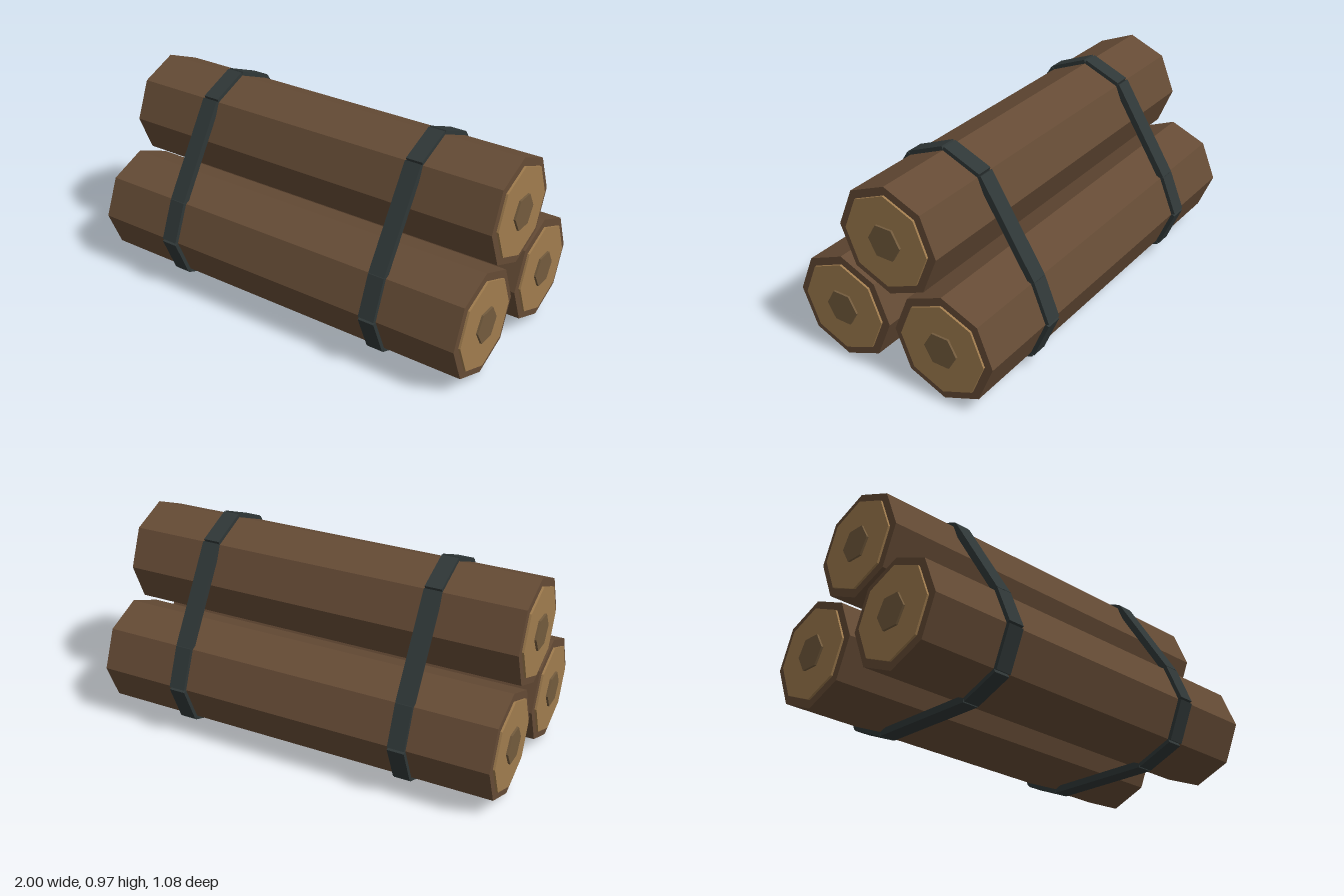
import * as THREE from 'three';

const material = (color) => new THREE.MeshStandardMaterial({ color, flatShading: true });

export function createModel() {
  const group = new THREE.Group();
  group.name = 'logBundle';
  const bark = material(0x654b35);
  const wood = material(0xa07c4e);
  const heart = material(0x735b3d);
  const band = material(0x2f3737);

  // Prism lying along x
  const prism = (name, radius, length, sides, mat) => {
    const geometry = new THREE.CylinderGeometry(radius, radius, length, sides);
    geometry.rotateZ(-Math.PI / 2);
    const mesh = new THREE.Mesh(geometry, mat);
    mesh.name = name;
    return mesh;
  };

  // Three stacked logs, each with cut faces and a heartwood core at both ends
  const lowY = 0.275, highY = 0.7, spread = 0.27;
  const logs = [['topLog', highY, 0], ['frontLog', lowY, spread], ['backLog', lowY, -spread]];
  for (const [name, y, z] of logs) {
    const log = new THREE.Group();
    log.name = name;
    log.add(prism('bark', 0.254, 1.96, 8, bark));
    for (const side of [-1, 1]) {
      const face = prism('cutFace', 0.215, 0.02, 8, wood);
      face.position.x = side * 0.98;
      const core = prism('heartwood', 0.083, 0.02, 6, heart);
      core.position.x = side * 0.99;
      log.add(face, core);
    }
    log.position.set(0, y, z);
    group.add(log);
  }

  // Strap outline as [z, y], following the outer corners of the logs
  const r = 0.257, d = r * Math.SQRT1_2;
  const half = [
    [d, highY + d], [spread + d, lowY + d], [spread + r, lowY],
    [spread + d, lowY - d], [spread, lowY - r],
  ];
  const outline = [[0, highY + r], ...half, ...half.map(([z, y]) => [-z, y]).reverse()];

  // Two straps made of flat segments
  for (const x of [-0.56, 0.56]) {
    const strap = new THREE.Group();
    strap.name = x > 0 ? 'leftStrap' : 'rightStrap';
    outline.forEach(([z0, y0], i) => {
      const [z1, y1] = outline[(i + 1) % outline.length];
      const length = Math.hypot(z1 - z0, y1 - y0);
      const segment = new THREE.Mesh(new THREE.BoxGeometry(0.08, 0.032, length), band);
      segment.name = 'strapSegment';
      segment.position.set(0, (y0 + y1) / 2, (z0 + z1) / 2);
      segment.rotation.x = -Math.atan2(y1 - y0, z1 - z0);
      strap.add(segment);
    });
    strap.position.x = x;
    group.add(strap);
  }
  return group;
}
